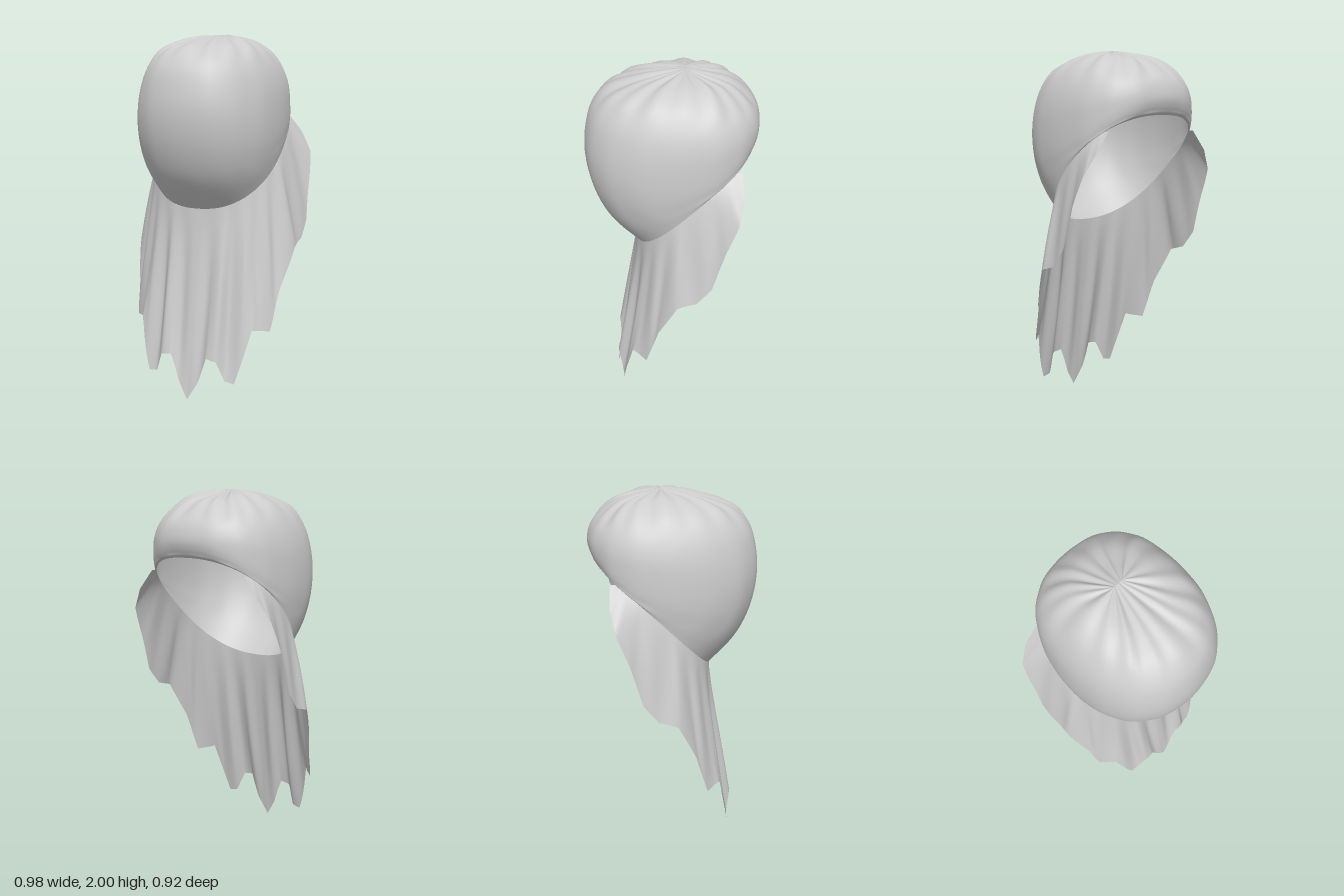
import * as THREE from 'three';

// Cap rings from crown to rim: half width, side z, side y, front z, front y, back z, back y
const RINGS = [
  [0.03, -0.07, 2.0, -0.07, 2.0, -0.07, 2.0],
  [0.11, -0.07, 1.988, 0.07, 1.977, -0.18, 1.972],
  [0.2, -0.07, 1.963, 0.22, 1.942, -0.3, 1.937],
  [0.29, -0.06, 1.9, 0.335, 1.895, -0.385, 1.875],
  [0.35, -0.05, 1.81, 0.41, 1.81, -0.43, 1.825],
  [0.385, -0.04, 1.7, 0.445, 1.7, -0.45, 1.775],
  [0.398, -0.03, 1.57, 0.458, 1.57, -0.455, 1.735],
  [0.398, -0.04, 1.47, 0.438, 1.42, -0.448, 1.7],
  [0.392, -0.06, 1.42, 0.385, 1.275, -0.44, 1.68],
  [0.388, -0.08, 1.395, 0.32, 1.175, -0.435, 1.668],
  [0.382, -0.1, 1.38, 0.2, 1.05, -0.425, 1.655],
];

// Free edge of the drape from the front tip to the rear corner: u, x, y, z
const EDGE = [
  [0, 0, 0, 0.327], [0.05, 0.06, 0.1, 0.327], [0.1, 0.11, 0.245, 0.325],
  [0.16, 0.165, 0.235, 0.315], [0.22, 0.215, 0.125, 0.305], [0.27, 0.262, 0.115, 0.29],
  [0.36, 0.345, 0.41, 0.235], [0.44, 0.41, 0.395, 0.15], [0.54, 0.45, 0.63, 0.085],
  [0.62, 0.487, 0.84, -0.02], [0.7, 0.49, 0.87, -0.12], [0.76, 0.487, 0.97, -0.2],
  [0.84, 0.483, 1.2, -0.27], [0.92, 0.462, 1.35, -0.33], [0.97, 0.4, 1.46, -0.357],
  [1, 0.31, 1.57, -0.35],
];

const power = (v, p) => Math.sign(v) * Math.abs(v) ** p;

// Point on a slanted, slightly squared ring at angle a (0 = front, positive = left)
function ringPoint([rx, zs, ys, zf, yf, zb, yb], a) {
  const s = power(Math.sin(a), 0.86), c = power(Math.cos(a), 0.86);
  const blend = (side, front, back) =>
    side + c * (front - back) / 2 + c * c * ((front + back) / 2 - side);
  return new THREE.Vector3(rx * s, blend(ys, yf, yb), blend(zs, zf, zb));
}

// Smooth surface from a grid of points: columns run around, rows run down
function gridGeometry(columns, closed) {
  const rows = columns[0].length, n = columns.length;
  const index = [];
  for (let i = 0; i < (closed ? n : n - 1); i++) {
    for (let j = 0; j < rows - 1; j++) {
      const a = i * rows + j, b = ((i + 1) % n) * rows + j;
      index.push(a, a + 1, b, b, a + 1, b + 1);
    }
  }
  const geometry = new THREE.BufferGeometry().setFromPoints(columns.flat());
  geometry.setIndex(index);
  geometry.computeVertexNormals();
  return geometry;
}

// Rounded cap, open along the slanted rim, with gathers fanning out from the crown
function capGeometry() {
  const columns = [], around = 96, down = 36;
  for (let i = 0; i < around; i++) {
    const a = (i / around) * Math.PI * 2;
    const gather = Math.cos(a * 16) + 0.6 * Math.cos(a * 9 + 1);
    const pts = RINGS.map((ring, k) => {
      const p = ringPoint(ring, a);
      const amount = k === 0 || k > 8 ? 0 : k < 4 ? 0.005 : 0.0025;
      p.y += k < 4 ? gather * amount : 0;
      p.x *= 1 + gather * amount;
      p.z *= 1 + gather * amount;
      return p;
    });
    columns.push(new THREE.CatmullRomCurve3(pts).getPoints(down));
  }
  return gridGeometry(columns, true);
}

// Pleated drape hanging from the rim down to the ragged edge
function drapeGeometry() {
  const half = [];
  const rim = RINGS[RINGS.length - 1], steps = 5, rows = 20;
  EDGE.forEach((e, k) => {
    const next = EDGE[k + 1];
    for (let i = 0; i < (next ? steps : 1); i++) {
      const [u, x, y, z] = next ? e.map((v, m) => v + (next[m] - v) * i / steps) : e;
      const top = ringPoint(rim, u * 2.25);
      const column = [];
      for (let j = 0; j <= rows; j++) {
        const t = j / rows;
        const fold = 0.04 * Math.cos(u * 42) * Math.sin(Math.PI * Math.min(t * 0.85, 1)) * (1 - u) ** 0.7;
        const px = top.x + (x - top.x) * t ** 0.9;
        const pz = top.z + (z - top.z) * t ** (1 + 0.35 * (1 - u));
        column.push(new THREE.Vector3(
          px * (1 + fold), top.y + (y - top.y) * t, pz + (pz + 0.1) * fold));
      }
      half.push(column);
    }
  });
  const mirrored = half.slice(1).reverse()
    .map((column) => column.map((p) => new THREE.Vector3(-p.x, p.y, p.z)));
  return gridGeometry([...mirrored, ...half], false);
}

export function createModel() {
  const group = new THREE.Group();
  group.name = 'headScarf';
  const cloth = new THREE.MeshStandardMaterial({ color: 0xcccccc, side: THREE.DoubleSide });
  cloth.name = 'pale grey cloth';

  const cap = new THREE.Mesh(capGeometry(), cloth);
  cap.name = 'cap';
  const drape = new THREE.Mesh(drapeGeometry(), cloth);
  drape.name = 'drape';
  group.add(cap, drape);
  return group;
}
